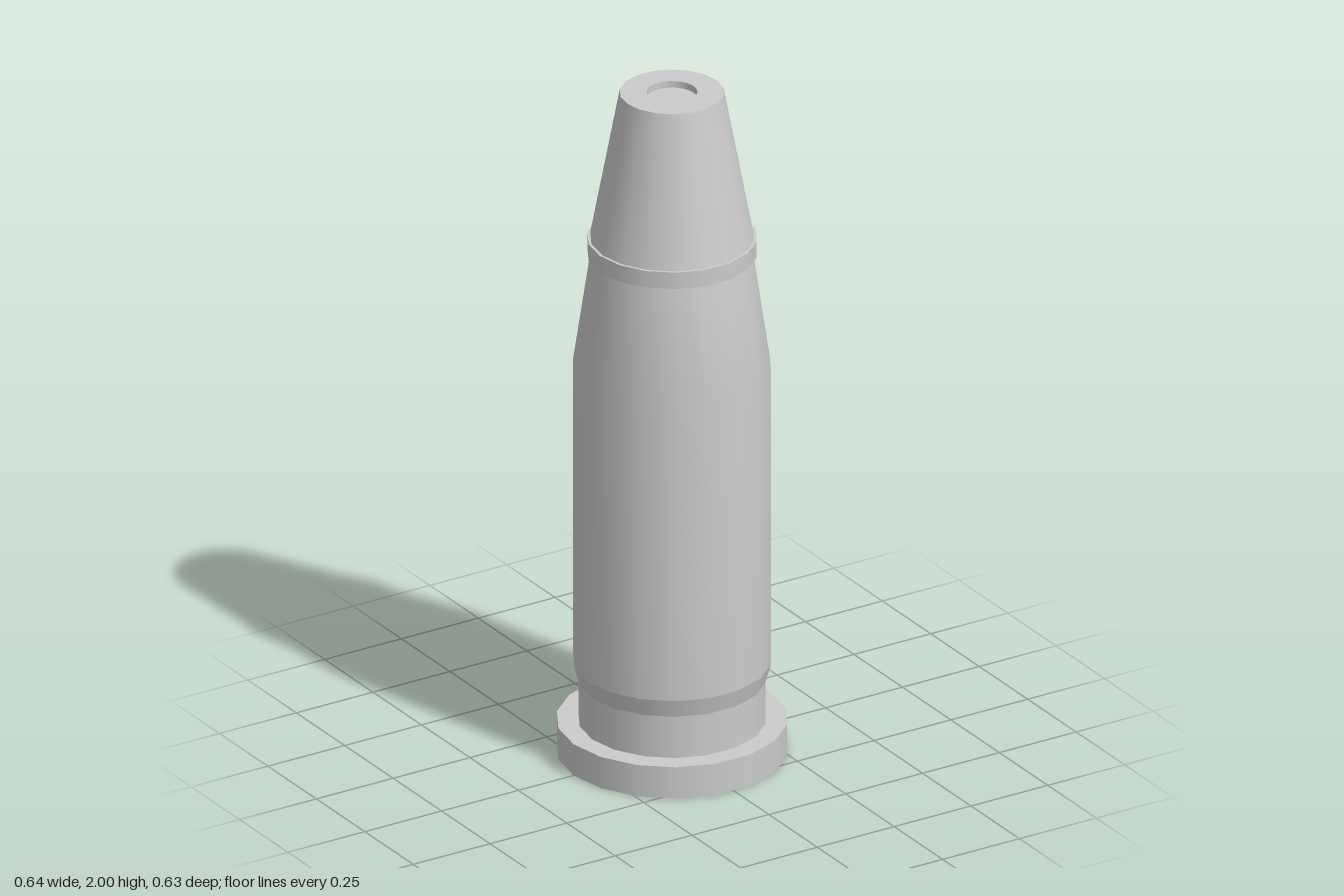
import * as THREE from 'three';
import { mergeGeometries } from 'three/addons/utils/BufferGeometryUtils.js';

const material = new THREE.MeshStandardMaterial({ color: 0xcccccc });

// Turned part: each strip of [radius, y] points is smooth, edges between strips stay sharp
function turned(name, strips, sides = 18) {
  const lathes = strips.map(strip => new THREE.LatheGeometry(
    strip.map(([r, y]) => new THREE.Vector2(r, y)), sides, Math.PI / 2));
  const mesh = new THREE.Mesh(mergeGeometries(lathes), material);
  mesh.name = name;
  return mesh;
}

export function createModel() {
  const group = new THREE.Group();
  group.name = 'cartridge';

  group.add(
    // Rim flange with a shallow round recess underneath
    turned('rim', [
      [[0, 0.05], [0.158, 0.05]],
      [[0.158, 0.05], [0.158, 0]],
      [[0.158, 0], [0.32, 0]],
      [[0.32, 0], [0.32, 0.095]],
      [[0.32, 0.095], [0.26, 0.095]],
    ]),
    // Narrow groove above the rim
    turned('groove', [
      [[0.26, 0.095], [0.26, 0.22]],
      [[0.26, 0.22], [0.275, 0.275]],
    ]),
    // Casing with tapering shoulder
    turned('casing', [
      [[0.275, 0.275], [0.275, 1.17], [0.225, 1.51]],
    ]),
    // Raised collar at the mouth of the casing
    turned('collar', [
      [[0.225, 1.51], [0.235, 1.51]],
      [[0.235, 1.51], [0.235, 1.56]],
      [[0.235, 1.56], [0.227, 1.56]],
    ]),
    // Conical nose with a flat tip
    turned('nose', [
      [[0.227, 1.56], [0.145, 2]],
    ]),
  );

  // Flat tip: 18-sided outline around a smooth round hole
  const tipShape = new THREE.Shape();
  for (let i = 0; i < 18; i++) {
    const a = i * Math.PI / 9;
    tipShape[i ? 'lineTo' : 'moveTo'](0.145 * Math.cos(a), 0.145 * Math.sin(a));
  }
  tipShape.closePath();
  tipShape.holes.push(new THREE.Path().absarc(0, 0, 0.07, 0, Math.PI * 2, true));
  const tip = new THREE.Mesh(new THREE.ShapeGeometry(tipShape, 18), material);
  tip.name = 'tip';
  tip.rotation.x = -Math.PI / 2;
  tip.position.y = 2;
  group.add(tip);

  // Shallow recess in the tip
  group.add(turned('tipRecess', [
    [[0.07, 2], [0.07, 1.98]],
    [[0.07, 1.98], [0, 1.98]],
  ], 36));

  return group;
}
